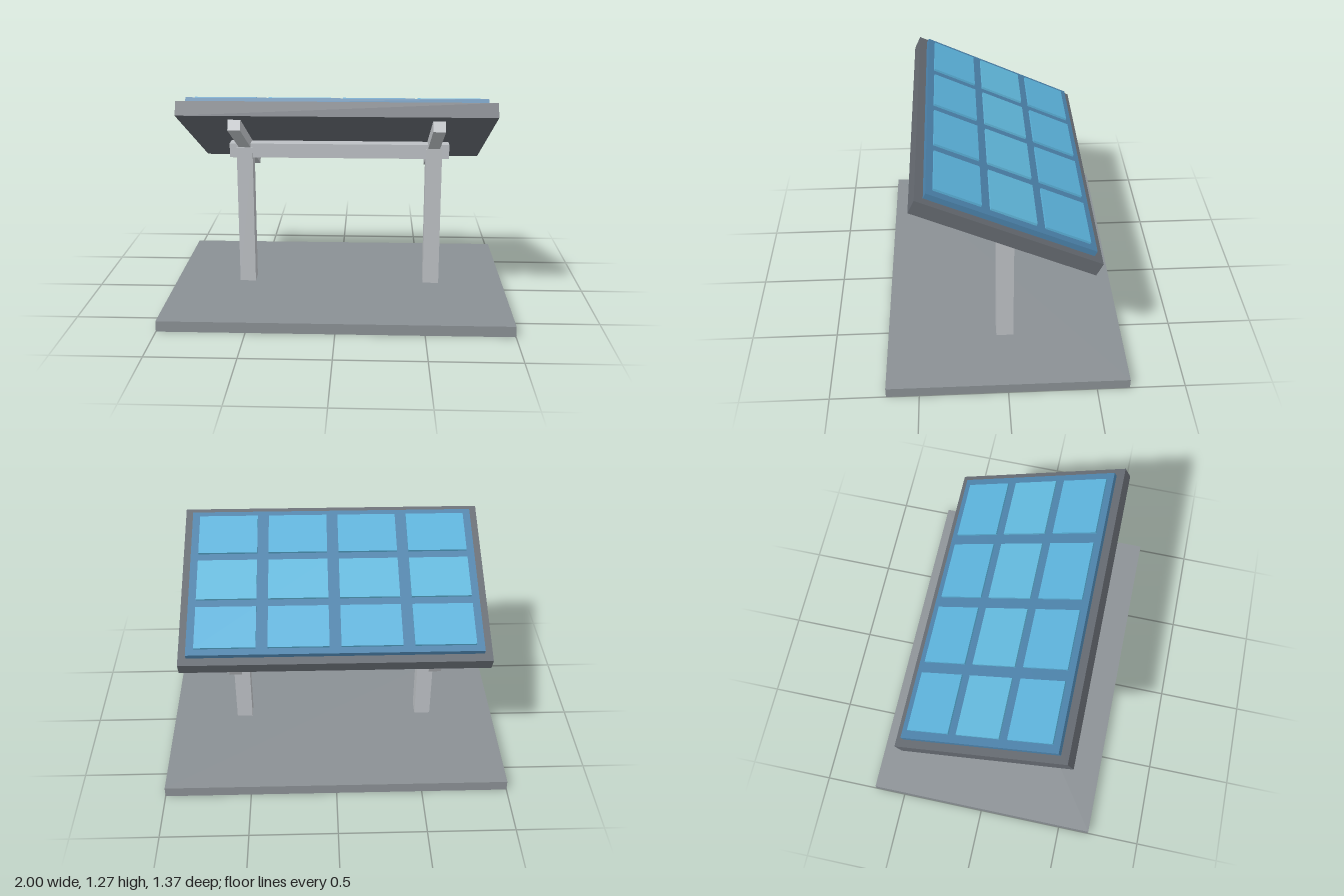
import * as THREE from 'three';

const material = (color) => new THREE.MeshStandardMaterial({ color });

function addBox(parent, name, [w, h, d], [x, y, z], mat) {
  const mesh = new THREE.Mesh(new THREE.BoxGeometry(w, h, d), mat);
  mesh.name = name;
  mesh.position.set(x, y, z);
  parent.add(mesh);
  return mesh;
}

export function createModel() {
  const model = new THREE.Group();
  model.name = 'solarPanel';

  const baseGrey = material(0x8a9094);
  const metal = material(0xbcc0c4);
  const frameGrey = material(0x63686f);
  const backing = material(0x4a80a8);
  const cellBlue = material(0x5ab0d8);
  const cellLight = material(0x60b6da);

  // Ground slab
  addBox(model, 'base', [2, 0.062, 1.37], [0, 0.031, 0], baseGrey);

  // Two posts joined by a crossbar
  for (const side of [-1, 1]) {
    const name = side > 0 ? 'leftPost' : 'rightPost';
    addBox(model, name, [0.095, 0.845, 0.1], [side * 0.563, 0.4825, 0], metal);
  }
  addBox(model, 'crossbar', [1.305, 0.085, 0.085], [0, 0.888, 0], metal);

  // Tilted assembly, front edge raised
  const tilted = new THREE.Group();
  tilted.name = 'tiltedPanel';
  tilted.position.y = 1.0025;
  tilted.rotation.x = THREE.MathUtils.degToRad(-25);
  model.add(tilted);

  // Support rails under the frame
  for (const side of [-1, 1]) {
    const name = side > 0 ? 'leftRail' : 'rightRail';
    addBox(tilted, name, [0.07, 0.061, 0.97], [side * 0.563, -0.0735, -0.032], metal);
  }

  // Frame and backing sheet
  addBox(tilted, 'frame', [1.75, 0.083, 1.065], [0, 0, 0], frameGrey);
  addBox(tilted, 'backingSheet', [1.66, 0.036, 0.971], [0, 0.056, 0], backing);

  // Grid of solar cells
  const cells = new THREE.Group();
  cells.name = 'cells';
  tilted.add(cells);
  for (let row = 0; row < 3; row++) {
    for (let col = 0; col < 4; col++) {
      addBox(cells, `cell${row + 1}x${col + 1}`, [0.343, 0.02, 0.264],
        [(col - 1.5) * 0.409, 0.077, (row - 1) * 0.315], row === 1 ? cellLight : cellBlue);
    }
  }

  return model;
}
